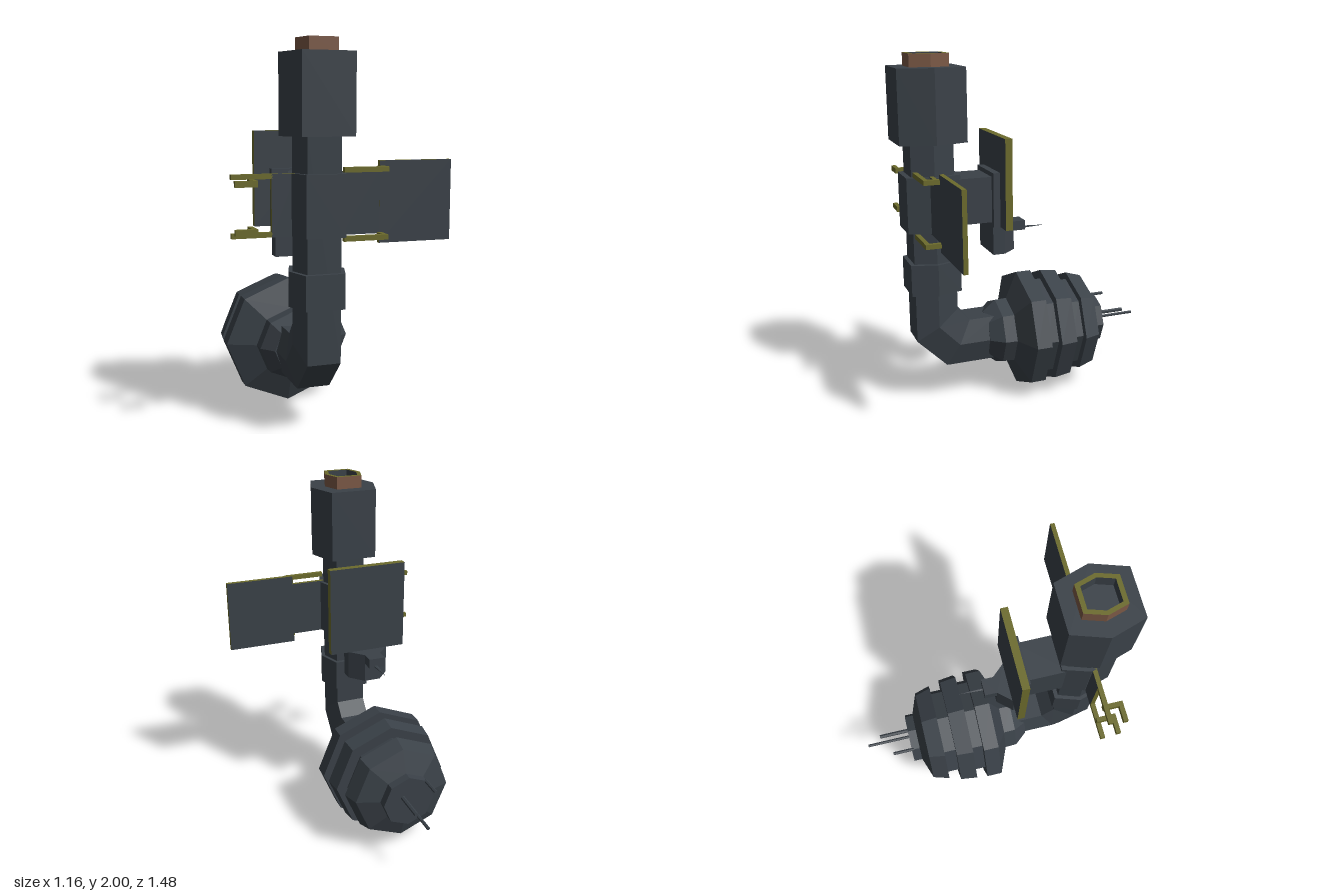
import * as THREE from 'three';

const CX = -0.145; // x of the pipe axis
const CZ = 0.55; // z of the upright pipe axis
const CY = 0.36; // y of the bulb axis

export function createModel() {
  const root = new THREE.Group();
  const mat = (name, color) => {
    const m = new THREE.MeshStandardMaterial({ color, flatShading: true });
    m.name = name;
    return m;
  };
  const dark = mat('dark slate', 0x3a4148);
  const olive = mat('olive edge', 0x6c6b2c);
  const brown = mat('brown rim', 0x7b5845);

  const add = (name, geo, material) => {
    const m = new THREE.Mesh(geo, material);
    m.name = name;
    root.add(m);
    return m;
  };
  // box given by its limits on each axis
  const box = (name, x0, x1, y0, y1, z0, z1, material = dark) => {
    const g = new THREE.BoxGeometry(x1 - x0, y1 - y0, z1 - z0);
    g.translate((x0 + x1) / 2, (y0 + y1) / 2, (z0 + z1) / 2);
    return add(name, g, material);
  };
  // plate faces are dark, its rim is olive
  const plateMats = [olive, olive, olive, olive, dark, dark];

  // broad hexagon with corners on the x axis
  const HEX = [[1, 0], [0.69, 1], [-0.69, 1], [-1, 0], [-0.69, -1], [0.69, -1]];

  // loft of hexagons; a section is {y, z, rx, vy, vz}, v being the half-depth vector
  const loft = (name, sections) => {
    const pos = [];
    const idx = [];
    for (const s of sections)
      for (const [u, v] of HEX) pos.push(CX + u * s.rx, s.y + v * s.vy, s.z + v * s.vz);
    const n = HEX.length;
    const last = (sections.length - 1) * n;
    for (let k = 0; k < last; k += n)
      for (let i = 0; i < n; i++) {
        const j = (i + 1) % n;
        idx.push(k + i, k + j, k + n + i, k + j, k + n + j, k + n + i);
      }
    for (let i = 1; i < n - 1; i++) {
      idx.push(0, i + 1, i);
      idx.push(last, last + i, last + i + 1);
    }
    const g = new THREE.BufferGeometry();
    g.setAttribute('position', new THREE.Float32BufferAttribute(pos, 3));
    g.setIndex(idx);
    g.computeVertexNormals();
    return add(name, g, dark);
  };
  // upright prism, listed from top to bottom
  const upright = (y, rx, rz) => ({ y, z: CZ, rx, vy: 0, vz: rz });
  const prism = (name, y0, y1, rx, rz) => loft(name, [upright(y1, rx, rz), upright(y0, rx, rz)]);

  // upright pipe, mitred elbow and horizontal neck
  loft('elbowPipe', [
    upright(1.54, 0.127, 0.12),
    { y: 0.485, z: 0.55, rx: 0.127, vy: -0.085, vz: 0.12 },
    { y: CY, z: 0.43, rx: 0.127, vy: -0.13, vz: 0.07 },
    { y: CY, z: 0.2, rx: 0.127, vy: -0.13, vz: 0 },
  ]);
  prism('topBlock', 1.53, 1.93, 0.195, 0.187);
  prism('middleCollar', 1.04, 1.35, 0.148, 0.15);
  prism('lowerCollar', 0.68, 0.86, 0.148, 0.143);

  // hollow rim on top
  const hexRing = (name, outer, inner, material) => {
    const pts = r => HEX.map(([u, v]) => new THREE.Vector2(u * r, v * r));
    const shape = new THREE.Shape(pts(outer));
    shape.holes.push(new THREE.Path(pts(inner)));
    const g = new THREE.ExtrudeGeometry(shape, { depth: 0.07, bevelEnabled: false });
    g.rotateX(-Math.PI / 2).translate(CX, 1.93, CZ - 0.003);
    add(name, g, material);
  };
  hexRing('topRim', 0.109, 0.09, [olive, brown]);
  hexRing('rimLiner', 0.09, 0.085, [olive, dark]);

  // eight-sided stepped bulb, profile as [radius, z] from back to front
  const profile = [
    [0, -0.475], [0.153, -0.475], [0.153, -0.425], [0.283, -0.38], [0.312, -0.285],
    [0.27, -0.285], [0.27, -0.215], [0.335, -0.215], [0.348, -0.115], [0.295, -0.115],
    [0.295, -0.05], [0.355, -0.05], [0.355, 0.04], [0.2, 0.105], [0.197, 0.175],
    [0.135, 0.25], [0, 0.25],
  ].map(([r, z]) => new THREE.Vector2(r, z));
  const bulb = new THREE.LatheGeometry(profile, 8);
  bulb.rotateX(Math.PI / 2).translate(CX, CY, 0);
  add('steppedBulb', bulb, dark);

  // pins on the back of the bulb: x, y, end z, radius
  for (const [x, y, z, r] of [
    [-0.25, 0.465, -0.59, 0.01],
    [-0.105, 0.395, -0.655, 0.012],
    [-0.135, 0.355, -0.74, 0.009],
  ]) {
    const len = -0.46 - z;
    const g = new THREE.CylinderGeometry(r, r, len, 6);
    g.rotateX(Math.PI / 2).translate(x, y, z + len / 2);
    add('pin', g, dark);
  }

  // side plate on the left with its two clips
  box('sidePlate', 0.18, 0.58, 0.985, 1.405, 0.555, 0.58, plateMats);
  box('sidePlateNeck', -0.02, 0.18, 1.035, 1.355, 0.556, 0.579, plateMats);
  for (const y of [1.354, 1.014]) {
    box('clipBar', -0.04, 0.195, y, y + 0.026, 0.64, 0.665, olive);
    box('clipEnd', 0.17, 0.195, y, y + 0.026, 0.575, 0.645, olive);
  }

  // short plate on the right with hooked arms above and below
  box('hookPlate', -0.385, -0.26, 1.04, 1.35, 0.555, 0.58, plateMats);
  for (const s of [1, -1]) {
    const bar = (name, x0, x1, d0, d1, z0, z1) => {
      const a = 1.195 + s * d0;
      const b = 1.195 + s * d1;
      box(name, x0, x1, Math.min(a, b), Math.max(a, b), z0, z1, olive);
    };
    bar('hookArm', -0.585, -0.38, 0.13, 0.155, 0.555, 0.58);
    bar('hookLink', -0.5, -0.475, 0.1, 0.131, 0.556, 0.665);
    bar('hookTip', -0.585, -0.475, 0.1, 0.13, 0.64, 0.665);
  }

  // rear arm, mount and back panel
  box('rearArm', -0.255, -0.035, 1.065, 1.325, 0.2, 0.45);
  box('rearMount', -0.285, -0.005, 1.04, 1.35, 0.18, 0.222);
  box('backPanel', -0.37, 0.085, 1.04, 1.55, 0.142, 0.183, plateMats);

  // tapered bracket under the panel, plan drawn as x against -z
  const plan = new THREE.Shape([
    [-0.12, -0.22], [0.12, -0.22], [0.12, -0.15], [0.048, -0.07], [-0.048, -0.07], [-0.12, -0.15],
  ].map(([x, z]) => new THREE.Vector2(x, z)));
  const bracket = new THREE.ExtrudeGeometry(plan, { depth: 0.165, bevelEnabled: false });
  bracket.rotateX(-Math.PI / 2).translate(CX, 0.875, 0);
  add('lowerBracket', bracket, dark);
  box('bracketTab', CX - 0.048, CX + 0.048, 0.985, 1.04, 0, 0.075);
  const needle = new THREE.ConeGeometry(0.012, 0.14, 6);
  needle.rotateX(-Math.PI / 2).scale(1, 0.6, 1).translate(CX + 0.008, 0.992, -0.068);
  add('needle', needle, dark);

  return root;
}
